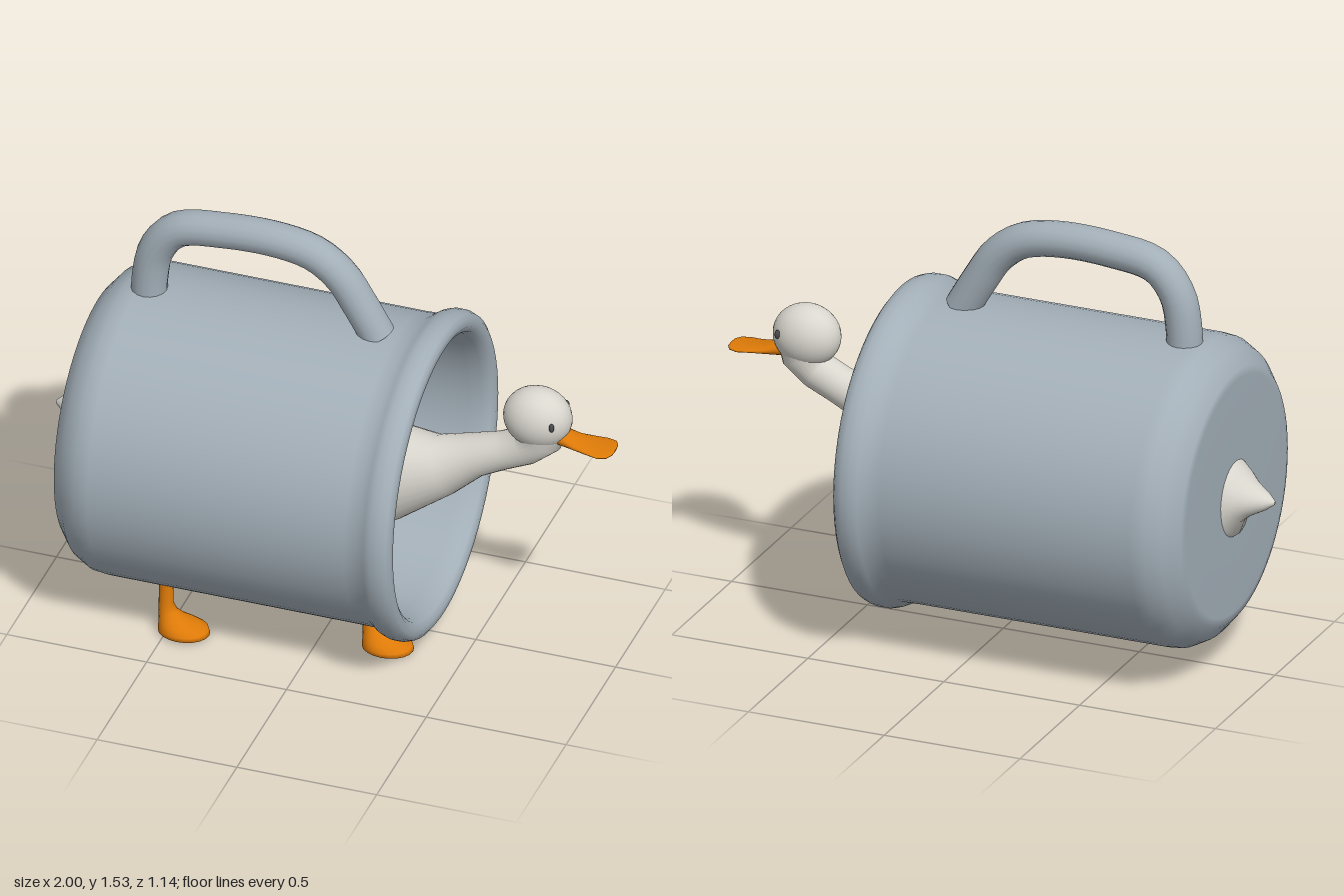
import * as THREE from 'three';

const paint = (name, color) => {
  const m = new THREE.MeshStandardMaterial({ color });
  m.name = name;
  return m;
};

// Smooth skin over elliptical sections [x, y, half width in z, half height], with flat end caps.
// Sections follow the spine unless a fixed direction is given.
function loft(sections, sides = 20, fixed = null) {
  const pos = [], index = [], n = sections.length;
  sections.forEach(([x, y, rz, rn], i) => {
    const a = sections[Math.max(i - 1, 0)], b = sections[Math.min(i + 1, n - 1)];
    const t = fixed || new THREE.Vector2(b[0] - a[0], b[1] - a[1]).normalize();
    for (let j = 0; j < sides; j++) {
      const q = (j / sides) * Math.PI * 2, c = Math.cos(q) * rn;
      pos.push(x - t.y * c, y + t.x * c, Math.sin(q) * rz);
    }
  });
  for (let i = 0; i < n - 1; i++) for (let j = 0; j < sides; j++) {
    const k = (j + 1) % sides, a = i * sides + j, b = i * sides + k;
    index.push(a, b, b + sides, a, b + sides, a + sides);
  }
  for (const end of [0, n - 1]) {
    const start = pos.length / 3;
    pos.push(...pos.slice(end * sides * 3, (end + 1) * sides * 3), sections[end][0], sections[end][1], 0);
    for (let j = 0; j < sides; j++) {
      const a = start + j, b = start + (j + 1) % sides;
      index.push(start + sides, end ? a : b, end ? b : a);
    }
  }
  const g = new THREE.BufferGeometry();
  g.setAttribute('position', new THREE.Float32BufferAttribute(pos, 3));
  g.setIndex(index);
  g.computeVertexNormals();
  return g;
}

export function createModel() {
  const model = new THREE.Group();
  const metal = paint('mug grey', 0xa3afb8);
  const feather = paint('feather white', 0xd9d6ce);
  const orange = paint('orange', 0xdd7a08);
  const dark = paint('eye grey', 0x4a4a4c);
  const add = (name, geometry, material, x = 0, y = 0, z = 0) => {
    const mesh = new THREE.Mesh(geometry, material);
    mesh.name = name;
    mesh.position.set(x, y, z);
    model.add(mesh);
    return mesh;
  };

  // Mug lying on its side: outer wall, rolled lip, inner wall and floor
  const profile = [
    [0, -0.855], [0.2, -0.855], [0.42, -0.855], [0.45, -0.85], [0.505, -0.805], [0.535, -0.75], [0.54, -0.7],
    [0.54, 0.22], [0.542, 0.265], [0.562, 0.295], [0.571, 0.32], [0.571, 0.35], [0.562, 0.375], [0.545, 0.387],
    [0.52, 0.388], [0.5, 0.375], [0.49, 0.35], [0.486, 0.3], [0.486, -0.7], [0.46, -0.77], [0.42, -0.8], [0, -0.8],
  ].map(([r, h]) => new THREE.Vector2(r, h));
  add('mug', new THREE.LatheGeometry(profile, 64), metal, 0, 0.635).rotation.z = -Math.PI / 2;

  // Handle
  const path = new THREE.CatmullRomCurve3([
    [-0.668, 1.13], [-0.665, 1.22], [-0.64, 1.34], [-0.565, 1.43], [-0.4, 1.462],
    [-0.2, 1.466], [-0.07, 1.438], [0.02, 1.37], [0.08, 1.28], [0.15, 1.16],
  ].map(([x, y]) => new THREE.Vector3(x, y, 0)));
  add('handle', loft(path.getSpacedPoints(32).map(p => [p.x, p.y, 0.062, 0.062]), 16), metal);

  // Tail, body and neck in one skin
  add('duckBody', loft([
    [-1, 0.635, 0.006, 0.006], [-0.97, 0.636, 0.035, 0.03], [-0.92, 0.637, 0.07, 0.058],
    [-0.885, 0.64, 0.1, 0.09], [-0.855, 0.64, 0.125, 0.138], [-0.7, 0.62, 0.18, 0.22],
    [-0.45, 0.59, 0.225, 0.31], [-0.2, 0.575, 0.235, 0.315], [0, 0.59, 0.205, 0.265],
    [0.2, 0.63, 0.15, 0.18], [0.39, 0.69, 0.1, 0.105], [0.5, 0.755, 0.075, 0.076],
    [0.6, 0.795, 0.067, 0.066], [0.68, 0.833, 0.067, 0.068], [0.725, 0.88, 0.075, 0.085], [0.728, 0.95, 0.085, 0.1],
  ], 28), feather);
  add('head', new THREE.SphereGeometry(1, 28, 20), feather, 0.722, 0.958).scale.set(0.12, 0.11, 0.095);

  // Bill
  add('bill', loft([
    [0.79, 0.9, 0.036, 0.028], [0.825, 0.896, 0.042, 0.026], [0.86, 0.888, 0.048, 0.018],
    [0.91, 0.883, 0.058, 0.012], [0.955, 0.88, 0.066, 0.01], [0.985, 0.881, 0.056, 0.009],
    [0.997, 0.882, 0.035, 0.006], [1, 0.882, 0.012, 0.003],
  ]), orange);

  // Eyes and folded wings
  for (const s of [1, -1]) {
    const side = s > 0 ? 'left' : 'right';
    add(side + 'Eye', new THREE.SphereGeometry(1, 12, 8), dark, 0.798, 0.975, s * 0.077).scale.set(0.009, 0.016, 0.01);
    const wing = add(side + 'Wing', new THREE.SphereGeometry(1, 24, 16), feather, -0.28, 0.64, s * 0.185);
    wing.scale.set(0.4, 0.18, 0.05);
    wing.rotation.set(-s * 0.3, 0, 0.08);
  }

  // Feet: a flat oval foot narrowing into a leg that runs up into the mug wall
  const up = new THREE.Vector2(0, 1);
  for (const [name, x, z, top] of [['backFoot', -0.505, 0.29, 0.2], ['frontFoot', 0.175, 0.15, 0.135]]) {
    add(name, loft([
      [0.062, 0.004, 0.06, 0.08], [0.064, 0.012, 0.073, 0.09], [0.062, 0.028, 0.074, 0.087],
      [0.045, 0.045, 0.06, 0.069], [0.025, 0.062, 0.043, 0.05], [0.008, 0.085, 0.03, 0.033],
      [0, 0.115, 0.024, 0.025], [0, top, 0.024, 0.024],
    ], 20, up), orange, x, 0, z);
  }
  return model;
}
